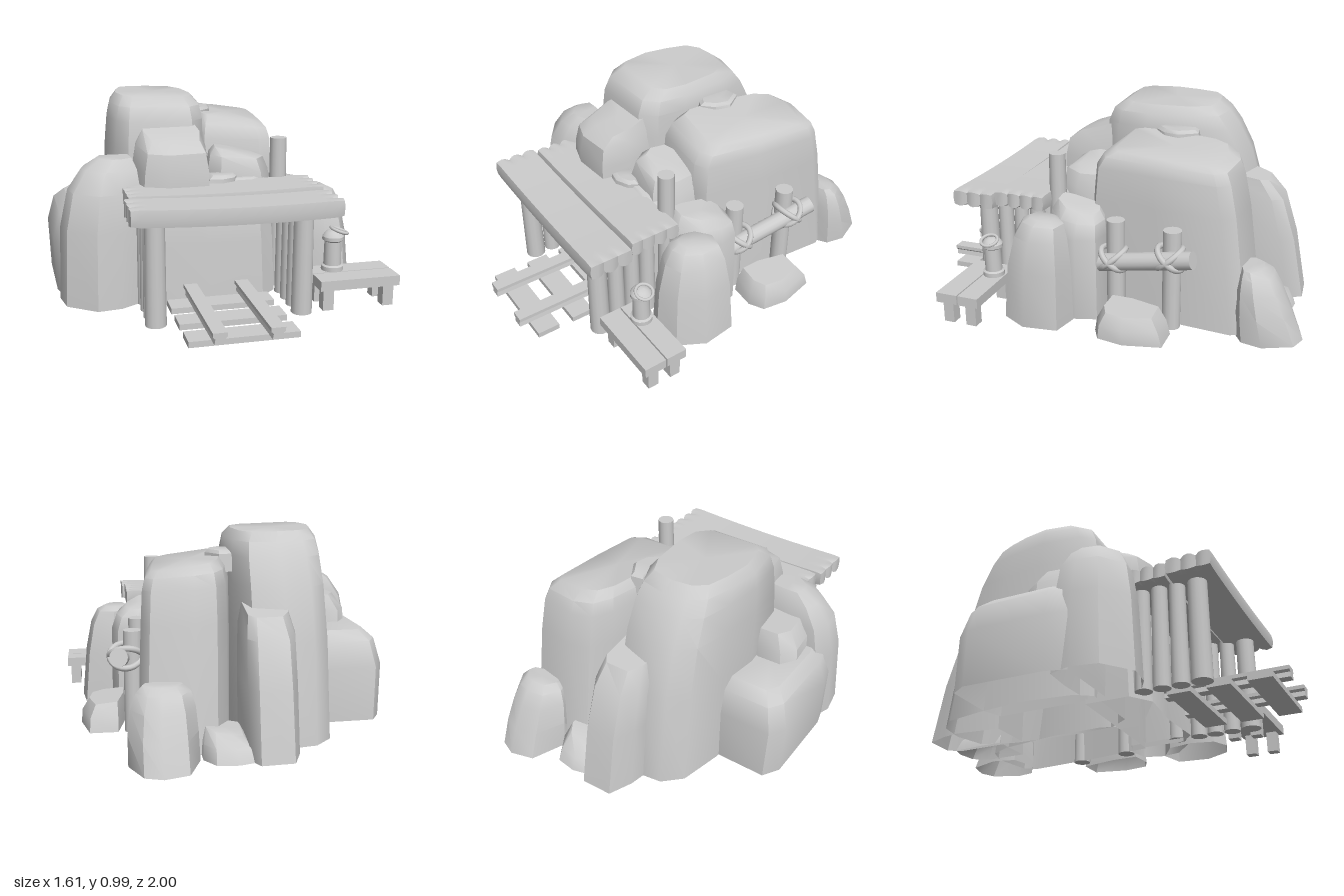
import * as THREE from 'three';
import { toCreasedNormals } from 'three/addons/utils/BufferGeometryUtils.js';

const mat = new THREE.MeshStandardMaterial({ color: 0xcccccc, side: THREE.DoubleSide });

export function createModel() {
  const root = new THREE.Group();
  const add = (geo, name, parent = root) => {
    const m = new THREE.Mesh(geo, mat);
    m.name = name;
    parent.add(m);
    return m;
  };
  const group = (name) => {
    const g = new THREE.Group();
    g.name = name;
    root.add(g);
    return g;
  };

  // Round bar between two points
  const bar = (a, b, r, name, parent, r2 = r) => {
    const p = new THREE.Vector3(...a), q = new THREE.Vector3(...b);
    const d = q.clone().sub(p);
    const m = add(new THREE.CylinderGeometry(r2, r, d.length(), 14), name, parent);
    m.position.copy(p).add(q).multiplyScalar(0.5);
    m.quaternion.setFromUnitVectors(new THREE.Vector3(0, 1, 0), d.normalize());
  };
  const box = (x0, x1, y0, y1, z0, z1, name, parent) => {
    const m = add(new THREE.BoxGeometry(x1 - x0, y1 - y0, z1 - z0), name, parent);
    m.position.set((x0 + x1) / 2, (y0 + y1) / 2, (z0 + z1) / 2);
  };

  // Open-bottomed rock: footprint corners (x, z) refitted to a box [y, x0, x1, z0, z1] at each level
  const rocks = group('rocks');
  const rock = (name, footprint, levels, slopeX = 0, slopeZ = 0) => {
    const pos = [], idx = [], n = footprint.length, last = levels.length - 1;
    const bounds = new THREE.Box2().setFromPoints(footprint.map((p) => new THREE.Vector2(...p)));
    const mid = bounds.getCenter(new THREE.Vector2()), size = bounds.getSize(new THREE.Vector2());
    levels.forEach(([y, x0, x1, z0, z1], k) => {
      const t = Math.pow(k / last, 2);
      for (const [x, z] of footprint) {
        const dx = (x - mid.x) / size.x * (x1 - x0), dz = (z - mid.y) / size.y * (z1 - z0);
        pos.push((x0 + x1) / 2 + dx, y + t * (slopeX * dx + slopeZ * dz), (z0 + z1) / 2 + dz);
      }
    });
    const [yt, a, b, c, d] = levels[last];
    pos.push((a + b) / 2, yt, (c + d) / 2);
    for (let k = 0; k <= last; k++) {
      for (let i = 0; i < n; i++) {
        const p = k * n + i, q = k * n + (i + 1) % n;
        if (k === last) idx.push(p, (last + 1) * n, q);
        else idx.push(p, q + n, q, p, p + n, q + n);
      }
    }
    const g = new THREE.BufferGeometry();
    g.setAttribute('position', new THREE.Float32BufferAttribute(pos, 3));
    g.setIndex(idx);
    add(toCreasedNormals(g, 0.68), name, rocks);
  };

  rock('tallRock', [[-0.515, -0.18], [-0.49, -0.42], [-0.45, -0.63], [-0.37, -0.715], [-0.24, -0.74], [-0.09, -0.7],
    [-0.03, -0.52], [-0.01, -0.16], [-0.03, 0.05], [-0.1, 0.15], [-0.43, 0.16], [-0.485, 0.08]],
  [[0.03, -0.525, 0, -0.74, 0.16], [0.5, -0.515, -0.005, -0.675, 0.17], [0.75, -0.505, -0.005, -0.6, 0.165],
    [0.88, -0.495, -0.008, -0.53, 0.15], [0.95, -0.48, -0.02, -0.475, 0.12], [0.994, -0.445, -0.055, -0.42, 0.05]], -0.03);
  rock('broadRightRock', [[-0.04, -0.02], [-0.03, -0.3], [0.03, -0.62], [0.09, -0.73], [0.2, -0.77],
    [0.41, -0.74], [0.45, -0.67], [0.42, -0.3], [0.375, 0.04], [0.3, 0.08], [-0.01, 0.05]],
  [[0.03, -0.04, 0.45, -0.77, 0.09], [0.6, -0.04, 0.425, -0.69, 0.08], [0.76, -0.035, 0.415, -0.655, 0.065],
    [0.82, -0.02, 0.4, -0.63, 0.03], [0.855, 0.01, 0.37, -0.57, -0.03]], -0.14);
  rock('rearLeftRock', [[-0.28, -0.72], [-0.265, -0.81], [-0.22, -0.92], [-0.07, -0.93], [-0.03, -0.86],
    [-0.03, -0.5], [-0.25, -0.5]],
  [[0.03, -0.285, -0.03, -0.93, -0.48], [0.34, -0.28, -0.03, -0.87, -0.48],
    [0.56, -0.275, -0.035, -0.8, -0.48], [0.66, -0.25, -0.05, -0.72, -0.48]], 0, 0.15);
  rock('rearLowRock', [[-0.06, -0.75], [-0.05, -0.89], [0.02, -0.91], [0.12, -0.9], [0.17, -0.83], [0.17, -0.62], [-0.06, -0.62]],
    [[0.03, -0.06, 0.17, -0.91, -0.6], [0.09, -0.05, 0.165, -0.88, -0.6], [0.14, -0.02, 0.15, -0.81, -0.6]], 0.2);
  rock('rearRightRock', [[0.19, -0.8], [0.25, -0.965], [0.36, -1], [0.44, -0.97], [0.5, -0.83], [0.48, -0.73],
    [0.36, -0.65], [0.22, -0.68]],
  [[0.02, 0.18, 0.5, -1, -0.65], [0.15, 0.185, 0.5, -0.945, -0.65], [0.26, 0.195, 0.485, -0.89, -0.66],
    [0.33, 0.215, 0.46, -0.845, -0.675], [0.36, 0.25, 0.43, -0.8, -0.69]]);
  rock('leftRock', [[-0.8, 0.1], [-0.81, -0.3], [-0.76, -0.38], [-0.5, -0.39], [-0.4, -0.36], [-0.4, 0.2], [-0.77, 0.2]],
    [[0.03, -0.8, -0.4, -0.4, 0.2], [0.3, -0.81, -0.4, -0.385, 0.2],
      [0.43, -0.775, -0.41, -0.355, 0.18], [0.48, -0.72, -0.43, -0.3, 0.15]]);
  rock('leftUpperRock', [[-0.69, -0.02], [-0.64, -0.1], [-0.52, -0.11], [-0.42, -0.07], [-0.42, 0.14], [-0.67, 0.14]],
    [[0.3, -0.7, -0.42, -0.11, 0.14], [0.54, -0.685, -0.42, -0.1, 0.14], [0.62, -0.63, -0.43, -0.06, 0.13]]);
  rock('leftFrontRock', [[-0.785, 0.22], [-0.75, 0.11], [-0.6, 0.1], [-0.4, 0.11], [-0.38, 0.36], [-0.5, 0.43],
    [-0.62, 0.445], [-0.76, 0.345]],
  [[0.03, -0.785, -0.38, 0.1, 0.45], [0.4, -0.77, -0.38, 0.1, 0.43], [0.58, -0.73, -0.39, 0.11, 0.4],
    [0.68, -0.66, -0.4, 0.13, 0.35], [0.73, -0.58, -0.42, 0.16, 0.29]]);
  rock('entranceWall', [[-0.41, 0.1], [0.3, 0.08], [0.3, 0.3], [0.22, 0.37], [-0.05, 0.36], [-0.3, 0.39], [-0.41, 0.32]],
    [[0.01, -0.41, 0.3, 0.08, 0.39], [0.3, -0.4, 0.29, 0.08, 0.37], [0.58, -0.38, 0.27, 0.08, 0.34], [0.61, -0.34, 0.23, 0.1, 0.31]]);
  rock('entranceDome', [[-0.415, 0.2], [-0.4, 0.1], [-0.05, 0.1], [-0.03, 0.24], [-0.06, 0.38], [-0.26, 0.395], [-0.375, 0.36]],
    [[0.54, -0.42, -0.03, 0.1, 0.4], [0.67, -0.41, -0.035, 0.1, 0.4],
      [0.775, -0.39, -0.05, 0.1, 0.38], [0.835, -0.35, -0.07, 0.1, 0.31]], 0, -0.3);
  rock('entranceRightRock', [[-0.02, 0.2], [0, 0.08], [0.12, 0.03], [0.3, 0.07], [0.31, 0.18], [0.24, 0.275], [0.03, 0.27]],
    [[0.54, -0.03, 0.31, 0, 0.28], [0.63, -0.025, 0.295, 0, 0.275],
      [0.7, -0.01, 0.27, 0.02, 0.25], [0.725, 0.02, 0.22, 0.04, 0.2]], -0.2);
  rock('rightMiddleRock', [[0.29, 0.2], [0.31, 0], [0.42, -0.04], [0.52, -0.02], [0.55, 0.08], [0.53, 0.18], [0.42, 0.28], [0.3, 0.28]],
    [[0.03, 0.28, 0.55, -0.04, 0.28], [0.45, 0.29, 0.545, -0.035, 0.27],
      [0.53, 0.3, 0.52, -0.025, 0.255], [0.575, 0.32, 0.47, 0.005, 0.225]], -0.15, 0.15);
  rock('rightFrontRock', [[0.41, 0.3], [0.44, 0.17], [0.56, 0.09], [0.69, 0.12], [0.71, 0.29], [0.64, 0.42], [0.53, 0.46], [0.44, 0.42]],
    [[0.03, 0.4, 0.71, 0.09, 0.46], [0.3, 0.41, 0.685, 0.1, 0.44], [0.45, 0.42, 0.655, 0.12, 0.4],
      [0.52, 0.44, 0.62, 0.14, 0.36], [0.54, 0.47, 0.58, 0.18, 0.32]]);
  rock('rightLowRock', [[0.5, -0.2], [0.54, -0.4], [0.67, -0.4], [0.71, -0.22], [0.69, -0.09], [0.62, -0.05], [0.5, -0.06]],
    [[0.03, 0.49, 0.71, -0.4, -0.05], [0.1, 0.49, 0.705, -0.38, -0.06], [0.16, 0.5, 0.67, -0.34, -0.09]], -0.1);
  const pebble = [[-1, 0.8], [-0.9, -0.9], [0.1, -1], [1, -0.2], [0.7, 0.5], [-0.2, 1]];
  rock('topPebble', pebble, [[0.8, -0.04, 0.1, -0.39, -0.15], [0.885, -0.03, 0.095, -0.38, -0.16], [0.9, -0.02, 0.08, -0.36, -0.18]]);
  rock('roofPebble', pebble, [[0.55, -0.06, 0.1, 0.22, 0.36], [0.62, -0.05, 0.1, 0.23, 0.35], [0.635, -0.03, 0.08, 0.25, 0.33]]);

  // Roof slabs: sagging boards, flat in the middle, with small notches between boards at the ends
  const roof = group('roof');
  const slab = (name, x0, x1, y0, y1, z0, z1, boards, sag, tilt) => {
    const w = x1 - x0, h = y1 - y0, d = z1 - z0;
    const g = new THREE.BoxGeometry(w, h, d, 24, 2, boards * 4);
    const p = g.attributes.position;
    for (let i = 0; i < p.count; i++) {
      const u = p.getX(i) / (w / 2), v = p.getY(i) / (h / 2), t = (p.getZ(i) / d + 0.5) * boards;
      const outer = Math.abs(t - boards / 2) > boards / 2 - 0.1;
      const notch = Math.pow(Math.cos(Math.PI * t), 4) * Math.pow(Math.abs(u), 24) * (outer ? 0.4 : 1);
      p.setXYZ(i, p.getX(i) - Math.sign(u) * notch * 0.012,
        p.getY(i) - v * notch * 0.012 - sag * (1 - u * u) - tilt * u,
        p.getZ(i) - (outer ? Math.sign(t - 1) * 0.006 * v * v : 0));
    }
    const m = add(toCreasedNormals(g, 0.6), name, roof);
    m.position.set((x0 + x1) / 2, (y0 + y1) / 2, (z0 + z1) / 2);
  };
  slab('frontRoofBoards', -0.505, 0.479, 0.523, 0.602, 0.55, 0.773, 3, 0.012, 0.006);
  slab('rearRoofBoards', -0.482, 0.462, 0.535, 0.61, 0.28, 0.545, 4, 0.01, 0);

  // Rows of props under both sides of the roof
  const props = group('entrancePosts');
  for (const x of [-0.38, 0.32]) {
    bar([x, 0.03, 0.66], [x, 0.53, 0.66], 0.05, 'frontPost', props, 0.046);
    for (const z of [0.56, 0.47, 0.38]) bar([x, 0.03, z], [x, 0.55, z], 0.042, 'innerPost', props, 0.038);
  }
  bar([0.32, 0.03, 0.26], [0.32, 0.8, 0.26], 0.045, 'tallPost', props, 0.041);

  // Track: flat sleepers and two waisted rails
  const track = group('track');
  for (const z of [0.89, 0.7, 0.51]) box(-0.29, 0.215, 0.035, 0.063, z - 0.057, z + 0.057, 'sleeper', track);
  const half = [[0.026, 0], [0.022, 0.025], [0.033, 0.035], [0.033, 0.053]];
  const section = new THREE.Shape([...half, ...half.map(([x, y]) => [-x, y]).reverse()].map((p) => new THREE.Vector2(...p)));
  for (const x of [-0.163, 0.095]) {
    const rail = add(new THREE.ExtrudeGeometry(section, { depth: 0.6, bevelEnabled: false }), 'rail', track);
    rail.position.set(x, 0.062, 0.4);
  }

  // Side platform
  const platform = group('platform');
  box(0.4, 0.8, 0.138, 0.187, 0.48, 0.585, 'platformBoard', platform);
  box(0.4, 0.8, 0.138, 0.187, 0.592, 0.703, 'platformBoard', platform);
  for (const x of [0.45, 0.755]) {
    for (const z of [0.53, 0.65]) box(x - 0.027, x + 0.027, 0.03, 0.14, z - 0.027, z + 0.027, 'platformLeg', platform);
  }

  // Lantern with a tilted carrying ring
  const lantern = group('lantern');
  lantern.position.set(0.517, 0.187, 0.54);
  const profile = [[0, 0], [0.054, 0], [0.054, 0.022], [0.043, 0.028], [0.041, 0.145], [0.052, 0.153],
    [0.052, 0.17], [0.036, 0.192], [0.018, 0.2], [0, 0.202]].map((p) => new THREE.Vector2(...p));
  add(toCreasedNormals(new THREE.LatheGeometry(profile, 16), 0.6), 'lanternBody', lantern);
  const ring = add(new THREE.TorusGeometry(0.042, 0.008, 8, 20), 'lanternRing', lantern);
  ring.rotation.set(Math.PI / 2, -0.35, 0);
  ring.position.set(0.03, 0.195, 0);

  // Fence: two posts, a slanted rail and crossed rope lashings
  const fence = group('fence');
  bar([0.525, 0.425, -0.5], [0.465, 0.315, -0.01], 0.044, 'fenceRail', fence);
  for (const [x, y, z] of [[0.42, 0.345, -0.085], [0.455, 0.405, -0.38]]) {
    bar([x, 0.03, z], [x, 0.53, z], 0.045, 'fencePost', fence);
    for (const s of [-1, 1]) {
      const rope = add(new THREE.TorusGeometry(0.075, 0.015, 8, 24), 'rope', fence);
      rope.position.set(x + 0.035, y, z);
      rope.rotation.x = Math.PI / 2 + s * 0.7;
    }
  }
  return root;
}
